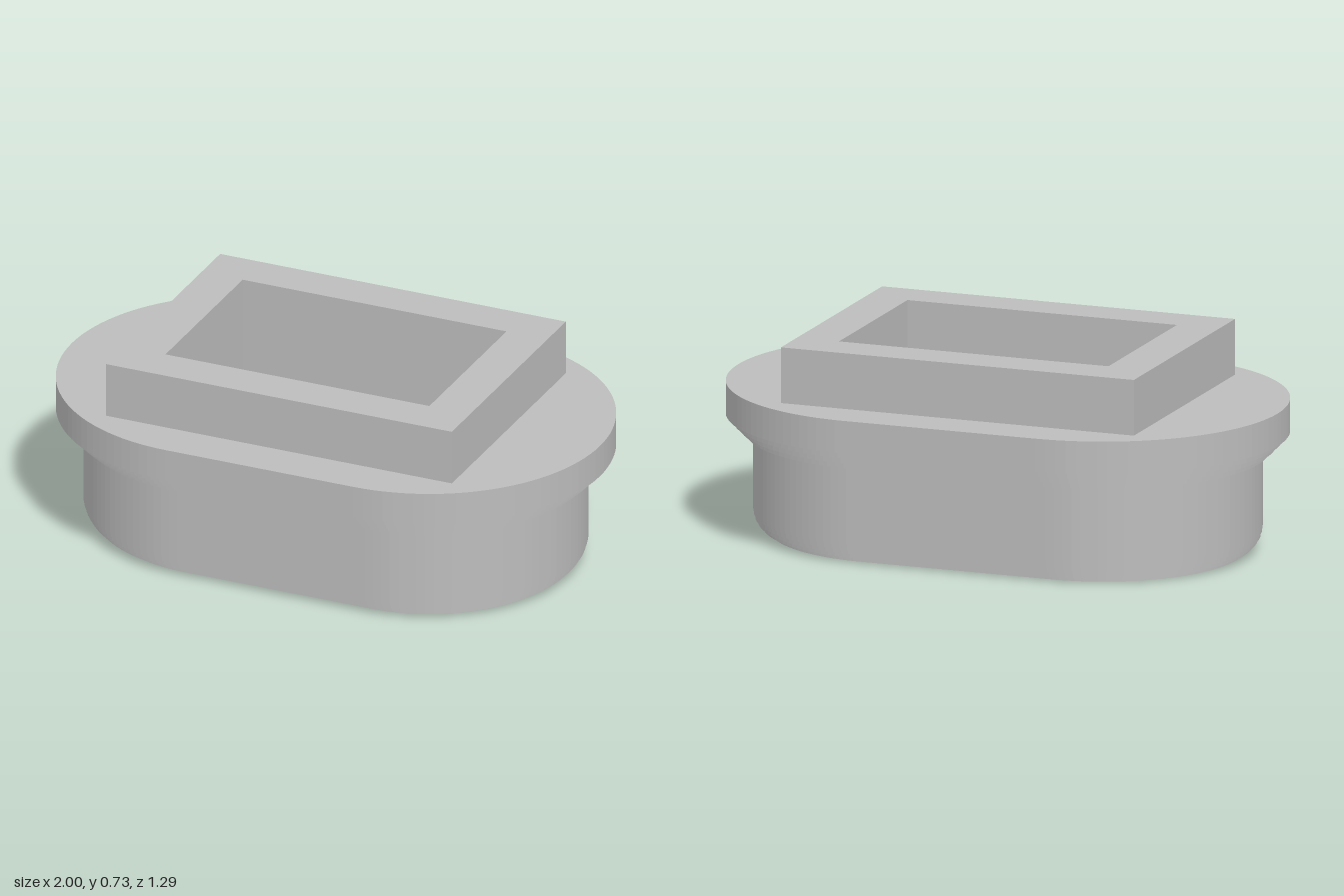
import * as THREE from 'three';

const HALF_STRAIGHT = 0.355; // half the straight run between the round ends
const FLOOR = 0.15;          // height of the socket floor

// Oval with straight sides and round ends
function ovalShape(r) {
  const s = new THREE.Shape();
  s.moveTo(-HALF_STRAIGHT, -r);
  s.lineTo(HALF_STRAIGHT, -r);
  s.absarc(HALF_STRAIGHT, 0, r, -Math.PI / 2, Math.PI / 2, false);
  s.lineTo(-HALF_STRAIGHT, r);
  s.absarc(-HALF_STRAIGHT, 0, r, Math.PI / 2, Math.PI * 1.5, false);
  return s;
}

function rectangle(path, hx, hz) {
  path.moveTo(-hx, -hz);
  path.lineTo(hx, -hz);
  path.lineTo(hx, hz);
  path.lineTo(-hx, hz);
  path.closePath();
  return path;
}

export function createModel() {
  const model = new THREE.Group();
  const grey = new THREE.MeshStandardMaterial({ color: 0xbcbcbc });
  grey.name = 'plain grey';

  // Extrude a plan shape upward from y0 to y1, cutting the socket above its floor
  function layer(name, shape, y0, y1) {
    if (y0 >= FLOOR) shape.holes.push(rectangle(new THREE.Path(), 0.5, 0.325));
    const geo = new THREE.ExtrudeGeometry(shape, {
      depth: y1 - y0, bevelEnabled: false, curveSegments: 28,
    });
    geo.rotateX(-Math.PI / 2);
    geo.translate(0, y0, 0);
    const mesh = new THREE.Mesh(geo, grey);
    mesh.name = name;
    model.add(mesh);
  }

  // Stepped oval plug: name, radius, bottom, top
  const layers = [
    ['baseStep1', 0.492, 0, 0.017],
    ['baseStep2', 0.518, 0.017, 0.033],
    ['baseStep3', 0.533, 0.033, 0.05],
    ['baseStep4', 0.543, 0.05, 0.067],
    ['baseStep5', 0.548, 0.067, 0.08],
    ['bodyFloor', 0.55, 0.08, FLOOR],
    ['bodyWall', 0.55, FLOOR, 0.348],
    ['collarStep1', 0.574, 0.348, 0.371],
    ['collarStep2', 0.598, 0.371, 0.395],
    ['collarStep3', 0.621, 0.395, 0.419],
    ['flange', 0.645, 0.419, 0.535],
  ];
  for (const [name, r, y0, y1] of layers) layer(name, ovalShape(r), y0, y1);

  // Rectangular socket rim on top
  layer('socketRim', rectangle(new THREE.Shape(), 0.655, 0.48), 0.535, 0.733);

  return model;
}
